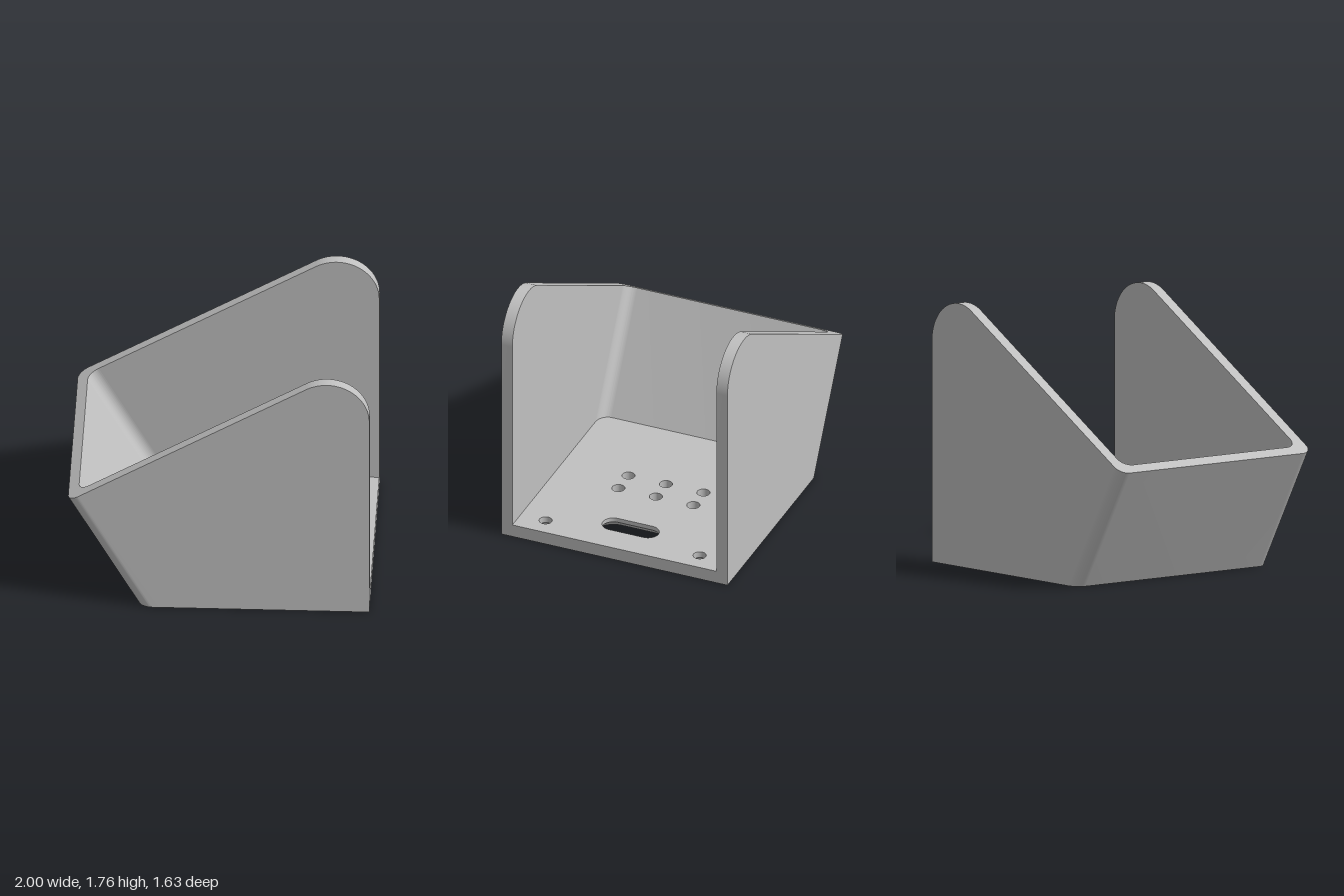
import * as THREE from 'three';
import { toCreasedNormals } from 'three/addons/utils/BufferGeometryUtils.js';

const COS = Math.cos(Math.PI / 6), SIN = 0.5, TAN = SIN / COS;
const FOOT = -0.532;              // x where the sloping wall meets the ground
const OUT = 0.815, T = 0.08, R = 0.08, IN = OUT - T;
const FLOOR = 0.09, END = T + R;  // floor height; reach of the corner section

// Floor openings: position, half straight length, radius above and below, chamfer depth
const holes = [];
for (const x of [0.13, 0.3]) for (const z of [-0.27, 0, 0.27]) holes.push({ x, z, l: 0, top: 0.044, low: 0.044, depth: 0.045 });
for (const z of [-0.555, 0.555]) holes.push({ x: 0.86, z, l: 0, top: 0.044, low: 0.09, depth: 0.045 });
holes.push({ x: 0.725, z: 0, l: 0.125, top: 0.075, low: 0.138, depth: 0.06 });

// Outline of a round hole or rounded slot
function outline({ x, z, l }, r) {
  const pts = [], n = 16;
  for (const side of [1, -1]) for (let k = 0; k <= n; k++) {
    if (!l && k === n) continue;
    const a = (k / n) * Math.PI;
    pts.push(new THREE.Vector2(x + side * r * Math.cos(a), z + side * (r * Math.sin(a) + l)));
  }
  return pts;
}

// Inward facing wall of an opening, chamfered towards the underside
function holeWall(h) {
  const rings = [[h.low, 0], [h.top, h.depth], [h.top, FLOOR]].map(([r, y]) =>
    outline(h, r).map(p => new THREE.Vector3(p.x, y, p.y)));
  const verts = [];
  for (let j = 0; j < 2; j++) for (let i = 0; i < rings[0].length; i++) {
    const n = (i + 1) % rings[0].length;
    const a = rings[j][i], b = rings[j][n], c = rings[j + 1][n], d = rings[j + 1][i];
    for (const v of [a, b, c, a, c, d]) verts.push(v.x, v.y, v.z);
  }
  const g = new THREE.BufferGeometry();
  g.setAttribute('position', new THREE.Float32BufferAttribute(verts, 3));
  return toCreasedNormals(g, 0.6);
}

// Floor face at height y, fitted to the inside of the sloping wall
function floorFace(y, key) {
  const at = p => FOOT - y * TAN + p / COS;
  const pts = [new THREE.Vector2(1, -IN), new THREE.Vector2(1, IN)];
  for (const side of [1, -1]) for (let k = 0; k <= 12; k++) {
    const a = ((side > 0 ? k : 12 - k) / 12) * Math.PI / 2;
    pts.push(new THREE.Vector2(at(END - R * Math.sin(a)), side * (IN - R + R * Math.cos(a))));
  }
  const s = new THREE.Shape(pts);
  s.holes = holes.map(h => new THREE.Path(outline(h, h[key])));
  const g = new THREE.ShapeGeometry(s);
  g.rotateX(key === 'top' ? -Math.PI / 2 : Math.PI / 2);
  return g.translate(0, y, 0);
}

// Sloping wall with both rounded corners, cut level at the ground
function slopingWall() {
  const s = new THREE.Shape(), q = Math.PI / 2;
  s.moveTo(END, -OUT);
  s.lineTo(END, -IN);
  s.absarc(END, -IN + R, R, -q, -2 * q, true);
  s.absarc(END, IN - R, R, 2 * q, q, true);
  s.lineTo(END, OUT);
  s.absarc(R, OUT - R, R, q, 2 * q, false);
  s.absarc(R, -OUT + R, R, 2 * q, 3 * q, false);
  s.closePath();
  const g = new THREE.ExtrudeGeometry(s, { depth: 1, bevelEnabled: false, curveSegments: 14 });
  const pos = g.attributes.position;
  for (let i = 0; i < pos.count; i++) {
    const p = pos.getX(i), z = -pos.getY(i), t = pos.getZ(i);
    const x0 = FOOT + p / COS, x1 = -1 + p * COS, y1 = 0.81 + p * SIN;
    pos.setXYZ(i, x0 + (x1 - x0) * t, y1 * t, z);
  }
  return toCreasedNormals(g, 0.6);
}

// Upright side plate with a rounded upper corner
function sidePlate() {
  const s = new THREE.Shape();
  s.moveTo(FOOT + END / COS, 0);
  s.lineTo(1, 0);
  s.lineTo(1, 1.48);
  s.absarc(0.72, 1.48, 0.28, 0, Math.PI * 2 / 3, false);
  s.lineTo(-1 + END * COS, 0.81 + END * SIN);
  s.closePath();
  return toCreasedNormals(new THREE.ExtrudeGeometry(s, { depth: T, bevelEnabled: false, curveSegments: 28 }), 0.6);
}

export function createModel() {
  const model = new THREE.Group();
  model.name = 'bracket';
  const grey = new THREE.MeshStandardMaterial({ color: 0xc0c0c0 });
  grey.name = 'grey';
  const add = (parent, name, geometry) => {
    const m = new THREE.Mesh(geometry, grey);
    m.name = name;
    parent.add(m);
    return m;
  };

  add(model, 'slopingWall', slopingWall());
  const plate = sidePlate();
  add(model, 'frontSidePlate', plate).position.z = IN;
  add(model, 'backSidePlate', plate).position.z = -OUT;

  const floor = new THREE.Group();
  floor.name = 'floor';
  model.add(floor);
  add(floor, 'floorTop', floorFace(FLOOR, 'top'));
  add(floor, 'floorUnderside', floorFace(0, 'low'));
  const edge = new THREE.PlaneGeometry(2 * IN, FLOOR).rotateY(Math.PI / 2);
  add(floor, 'floorEdge', edge).position.set(1, FLOOR / 2, 0);
  for (const h of holes) add(floor, h.l ? 'cableSlot' : h.low > h.top ? 'screwHole' : 'ventHole', holeWall(h));

  return model;
}
